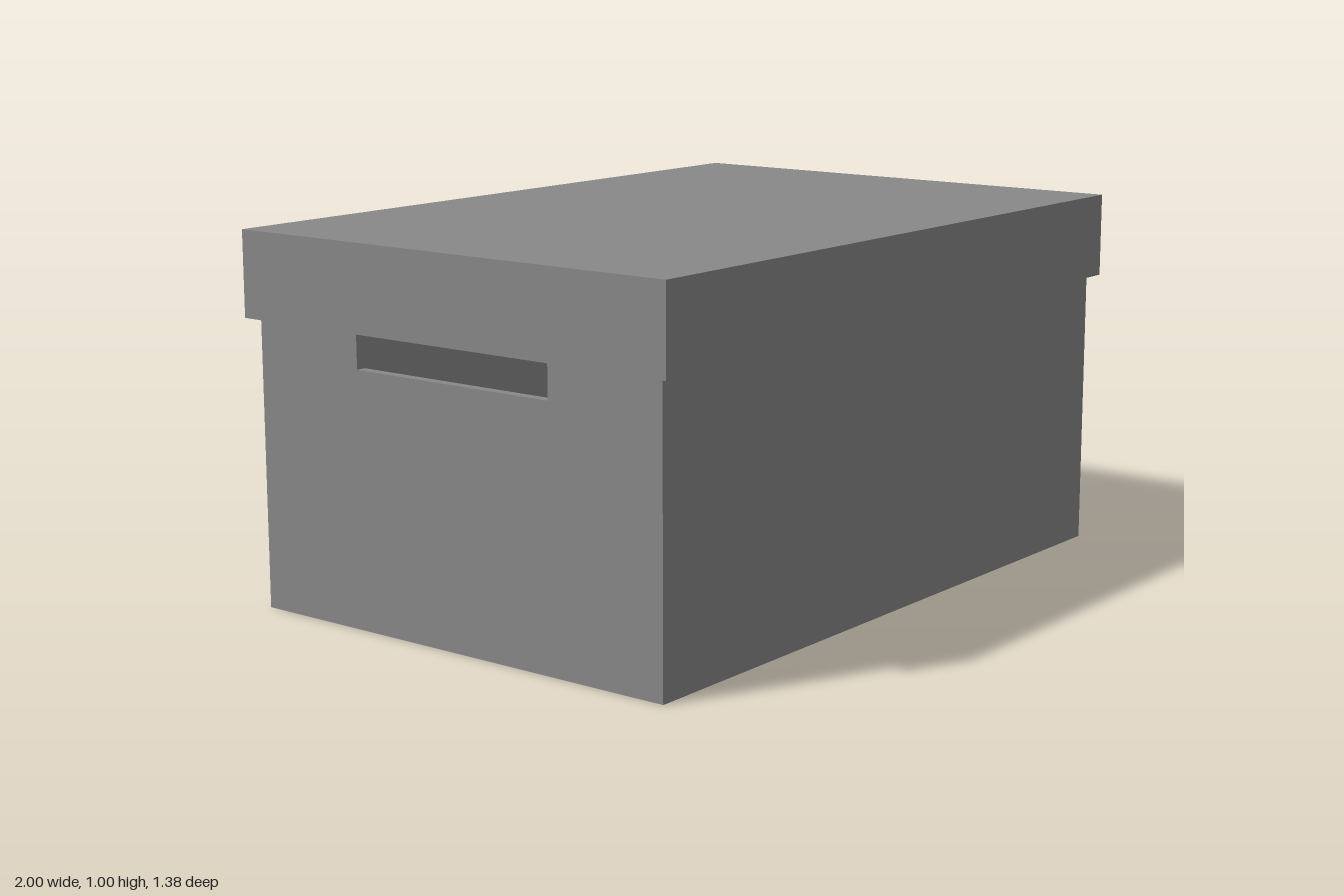
import * as THREE from 'three';

const material = new THREE.MeshStandardMaterial({ color: 0x888888, flatShading: true });
const T = 0.027; // cardboard thickness

function rect(path, x0, y0, x1, y1) {
  path.moveTo(x0, y0);
  path.lineTo(x1, y0);
  path.lineTo(x1, y1);
  path.lineTo(x0, y1);
  path.closePath();
  return path;
}

function add(group, name, geometry, x = 0, y = 0, z = 0) {
  const mesh = new THREE.Mesh(geometry, material);
  mesh.name = name;
  mesh.position.set(x, y, z);
  group.add(mesh);
}

// Extrudes an outline with one hole
function cutSheet(outer, hole, depth) {
  const shape = rect(new THREE.Shape(), ...outer);
  shape.holes.push(rect(new THREE.Path(), ...hole));
  return new THREE.ExtrudeGeometry(shape, { depth, bevelEnabled: false });
}

export function createModel() {
  const model = new THREE.Group();
  model.name = 'storageBox';

  // Open tray with a hand hole in each end
  const body = new THREE.Group();
  body.name = 'body';
  model.add(body);
  const X = 0.977, H = 0.975, Z0 = -0.656, Z1 = 0.662;
  const midZ = (Z0 + Z1) / 2;
  add(body, 'bottom', new THREE.BoxGeometry(2 * (X - T), T, Z1 - Z0 - 2 * T), 0, T / 2, midZ);
  add(body, 'frontWall', new THREE.BoxGeometry(2 * (X - T), H, T), 0, H / 2, Z1 - T / 2);
  add(body, 'backWall', new THREE.BoxGeometry(2 * (X - T), H, T), 0, H / 2, Z0 + T / 2);

  // End walls are drawn in (-z, y) and turned to face along x
  const endWall = cutSheet([-Z1, 0, -Z0, H], [-0.318, 0.677, 0.312, 0.83], T);
  endWall.rotateY(Math.PI / 2);
  add(body, 'leftEndWall', endWall, X - T);
  add(body, 'rightEndWall', endWall, -X);

  // Narrow paper strip across the lower back corner of the right hand hole
  const strip = new THREE.Shape();
  strip.moveTo(0.222, 0.677);
  strip.lineTo(0.242, 0.677);
  strip.lineTo(0.312, 0.725);
  strip.lineTo(0.312, 0.742);
  strip.closePath();
  add(body, 'cornerStrip', new THREE.ShapeGeometry(strip).rotateY(Math.PI / 2), -X + T);

  // Lid: a rim around a flat top
  const lid = new THREE.Group();
  lid.name = 'lid';
  model.add(lid);
  const D = 0.691, R = 0.015, top = 1.002, low = 0.772;
  const rim = cutSheet([-1, -D, 1, D], [-1 + R, -D + R, 1 - R, D - R], top - T - low);
  rim.rotateX(-Math.PI / 2);
  add(lid, 'lidRim', rim, 0, low);
  add(lid, 'lidTop', new THREE.BoxGeometry(2, T, 2 * D), 0, top - T / 2);

  return model;
}
